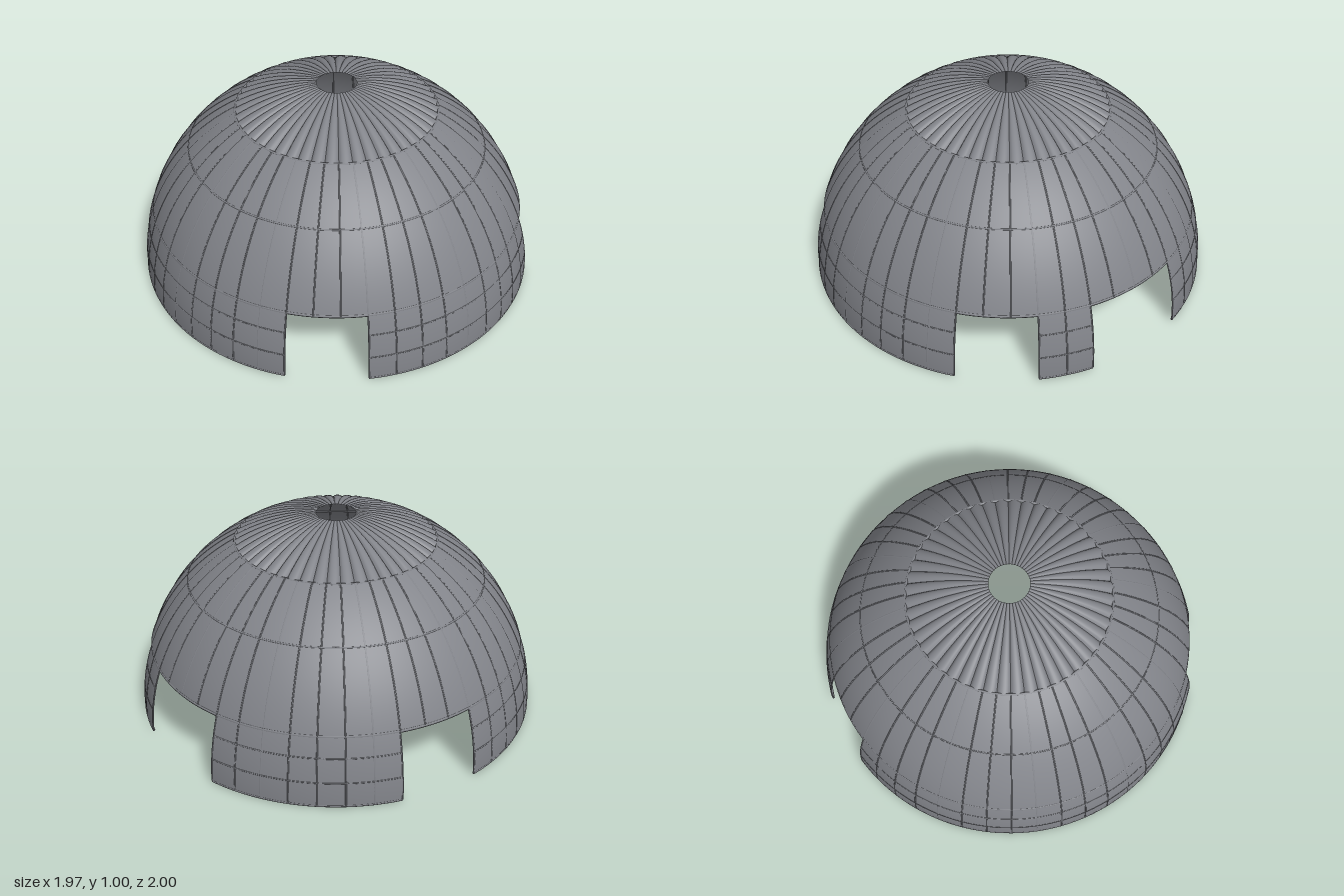
import * as THREE from 'three';

const RAD = Math.PI / 180;
const STEP = 7.5;                       // panel width in degrees
const LINTEL = 20, COURSE = 42.5, CAP = 60, EYE = 84.4; // latitudes in degrees
// wall sections between the openings, as angles from +x towards +z
const WALLS = [[15, 30], [52.5, 120], [142.5, 270], [292.5, 345]];

export function createModel() {
  const root = new THREE.Group();
  root.name = 'dome';
  const dome = new THREE.Group();
  dome.name = 'domeBody';
  dome.position.x = 0.0175;
  root.add(dome);

  const grey = new THREE.MeshStandardMaterial({ color: 0x82848a, side: THREE.DoubleSide });
  grey.name = 'slate grey';

  const add = (name, geometry) => {
    const mesh = new THREE.Mesh(geometry, grey);
    mesh.name = name;
    dome.add(mesh);
    return mesh;
  };

  // patch of the spherical skin between two angles and two latitudes
  const skin = (name, a0, a1, lat0, lat1) => add(name, new THREE.SphereGeometry(
    0.999, Math.max(2, Math.round((a1 - a0) / 2.5)), 16,
    Math.PI - a1 * RAD, (a1 - a0) * RAD, (90 - lat1) * RAD, (lat1 - lat0) * RAD));

  // upright rib following the curve of the dome
  const meridian = (name, a, lat0, lat1, centre, thick) => {
    const g = new THREE.TorusGeometry(centre, thick, 6, 20, (lat1 - lat0) * RAD);
    g.rotateZ(lat0 * RAD);
    g.rotateY(-a * RAD);
    add(name, g);
  };

  // level rib at one latitude
  const ring = (name, lat, a0, a1, centre, thick) => {
    const g = new THREE.TorusGeometry(centre * Math.cos(lat * RAD), thick, 6,
      Math.max(4, Math.round((a1 - a0) / 2.5)), (a1 - a0) * RAD);
    g.rotateX(Math.PI / 2);
    g.rotateY(-a0 * RAD);
    g.translate(0, centre * Math.sin(lat * RAD), 0);
    add(name, g);
  };

  // continuous upper shell
  skin('upperShell', 0, 360, LINTEL, CAP);
  ring('lintelRing', LINTEL, 0, 360, 0.992, 0.009);
  ring('courseRing', COURSE, 0, 360, 0.996, 0.005);
  ring('capRing', CAP, 0, 360, 0.994, 0.007);
  for (let a = 0; a < 360; a += STEP) {
    const main = a % 30 === 0;
    meridian(main ? 'mainRib' : 'panelRib', a, LINTEL, CAP, main ? 0.991 : 0.997, main ? 0.01 : 0.004);
  }

  // wall sections with their panel ribs
  for (const [a0, a1] of WALLS) {
    skin('wall', a0, a1, 0, LINTEL);
    ring('baseRib', 0.35, a0, a1, 0.995, 0.006);
    ring('wallRib', 7.3, a0, a1, 0.997, 0.004);
    ring('wallRib', 14.2, a0, a1, 0.997, 0.004);
    for (let a = a0; a <= a1; a += STEP) {
      const main = a % 30 === 0 && a > a0 && a < a1;
      meridian(main ? 'mainRib' : 'panelRib', a, 0.4, LINTEL, main ? 0.991 : 0.997, main ? 0.01 : 0.004);
    }
  }

  // fluted cap: rounded flutes with sharp valleys, open at the crown
  const flute = new THREE.PlaneGeometry(1, 1, 8, 10);
  const p = flute.attributes.position;
  for (let i = 0; i < p.count; i++) {
    const u = p.getX(i) * 2;             // -1..1 across the flute
    const v = p.getY(i) + 0.5;           // 0..1 up the flute
    const lat = (CAP + (EYE - CAP) * v) * RAD;
    const depth = 0.045 * Math.cos(lat); // flutes get shallower towards the crown
    const r = 1 - depth * (1 - Math.sqrt(1 - 0.95 * u * u));
    const a = (90 - u * STEP / 2) * RAD;
    p.setXYZ(i, r * Math.cos(lat) * Math.cos(a), r * Math.sin(lat), r * Math.cos(lat) * Math.sin(a));
  }
  flute.computeVertexNormals();
  for (let k = 0; k < 360 / STEP; k++) {
    add('capFlute', flute).rotation.y = (k + 0.5) * STEP * RAD;
  }

  return root;
}
